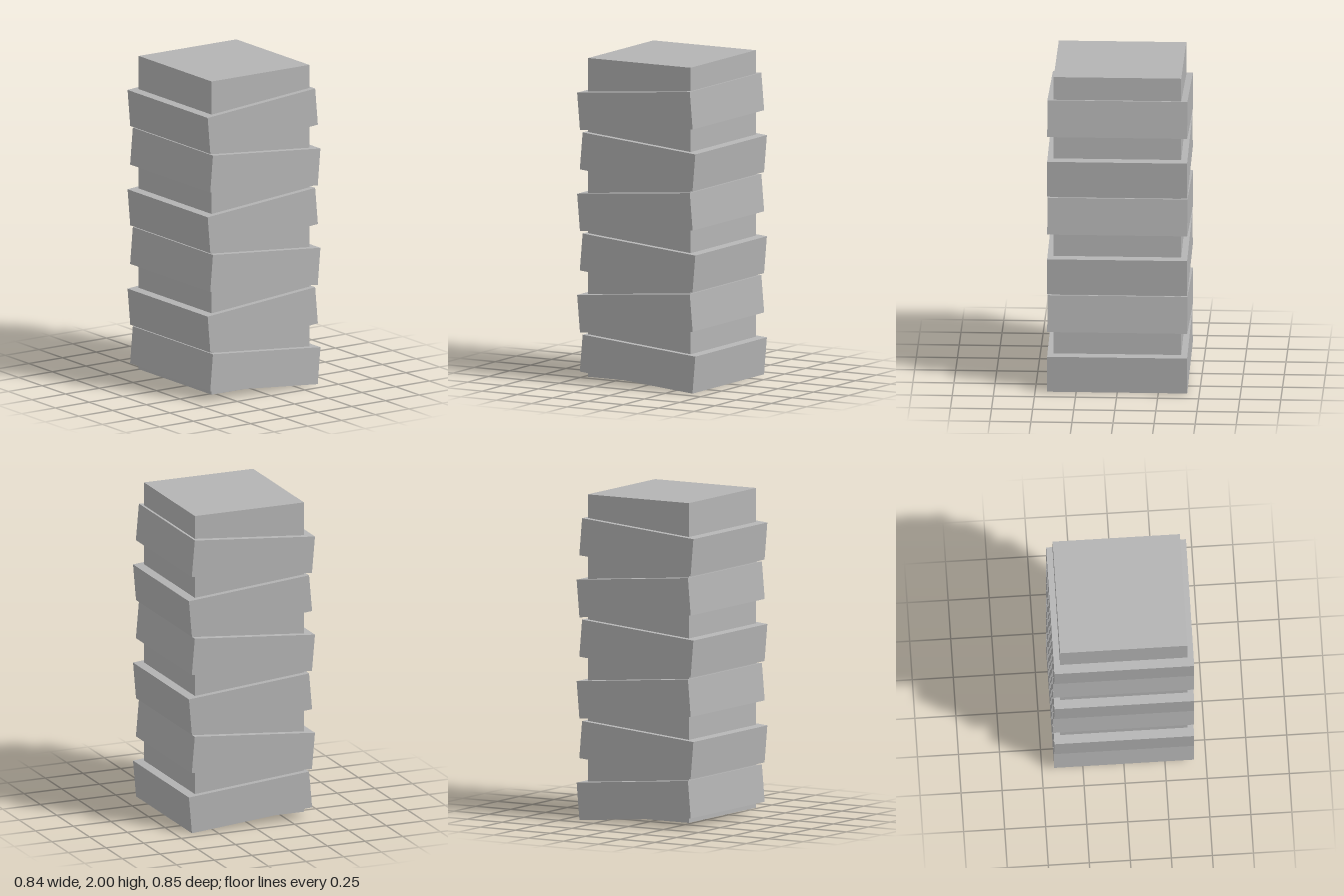
import * as THREE from 'three';

export function createModel() {
  const model = new THREE.Group();
  const grey = new THREE.MeshStandardMaterial({ color: 0xb4b4b4 });
  grey.name = 'grey';

  const addBox = (name, w, h, d, x, y, tilt = 0) => {
    const mesh = new THREE.Mesh(new THREE.BoxGeometry(w, h, d), grey);
    mesh.name = name;
    mesh.position.set(x, y, 0);
    mesh.rotation.z = tilt;
    model.add(mesh);
  };

  // Upright core running through the stack
  addBox('core', 0.724, 1.964, 0.776, 0, 1.018);

  // Six slabs, tilted alternately to either side
  const tilt = THREE.MathUtils.degToRad(5);
  for (let i = 0; i < 6; i++) {
    const side = i % 2 ? -1 : 1;
    addBox(`slab${i + 1}`, 0.8, 0.23, 0.852, side * 0.0095, 0.15 + i * 0.3115, -side * tilt);
  }
  return model;
}
